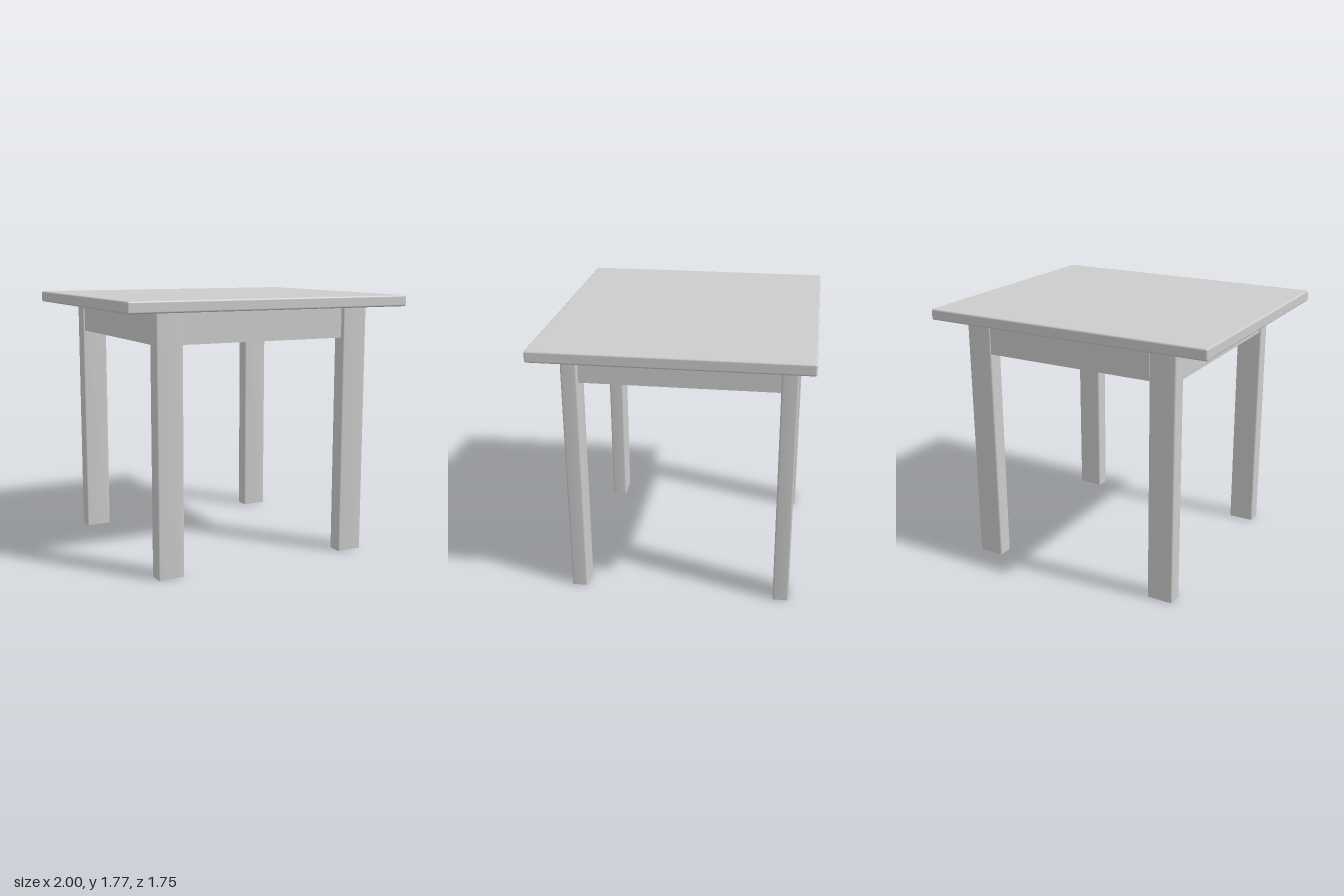
import * as THREE from 'three';
import { toCreasedNormals } from 'three/addons/utils/BufferGeometryUtils.js';
import { RoundedBoxGeometry } from 'three/addons/geometries/RoundedBoxGeometry.js';

const material = new THREE.MeshStandardMaterial({ color: 0xcccccc });

// Square-ended post whose long edges are slightly softened
function postGeometry(w, h, d, r) {
  const x = w / 2, y = d / 2;
  const s = new THREE.Shape();
  s.moveTo(-x + r, -y);
  s.lineTo(x - r, -y);
  s.quadraticCurveTo(x, -y, x, -y + r);
  s.lineTo(x, y - r);
  s.quadraticCurveTo(x, y, x - r, y);
  s.lineTo(-x + r, y);
  s.quadraticCurveTo(-x, y, -x, y - r);
  s.lineTo(-x, -y + r);
  s.quadraticCurveTo(-x, -y, -x + r, -y);
  const g = new THREE.ExtrudeGeometry(s, { depth: h, bevelEnabled: false, curveSegments: 4 });
  g.rotateX(-Math.PI / 2);
  return toCreasedNormals(g, 0.7);
}

export function createModel() {
  const table = new THREE.Group();
  table.name = 'table';

  const add = (name, geometry, x, y, z) => {
    const mesh = new THREE.Mesh(geometry, material);
    mesh.name = name;
    mesh.position.set(x, y, z);
    table.add(mesh);
  };

  // Box given by its limits on each axis
  const addRail = (name, x0, x1, z0, z1) => {
    const y0 = 1.49, y1 = 1.7;
    add(name, new THREE.BoxGeometry(x1 - x0, y1 - y0, z1 - z0),
      (x0 + x1) / 2, (y0 + y1) / 2, (z0 + z1) / 2);
  };

  // Top board with softened edges
  add('tabletop', new RoundedBoxGeometry(2, 0.075, 1.75, 3, 0.012), 0, 1.7375, 0);

  // Four legs
  const leg = postGeometry(0.18, 1.7, 0.105, 0.012);
  for (const [side, x] of [['Left', 0.695], ['Right', -0.665]]) {
    add(`front${side}Leg`, leg, x, 0, 0.665);
    add(`back${side}Leg`, leg, x, 0, -0.7175);
  }

  // Apron rails between the legs
  addRail('frontApron', -0.575, 0.605, 0.61, 0.69);
  addRail('backApron', -0.575, 0.605, -0.768, -0.71);
  addRail('leftApron', 0.67, 0.75, -0.665, 0.6125);
  addRail('rightApron', -0.74, -0.65, -0.665, 0.6125);

  return table;
}
